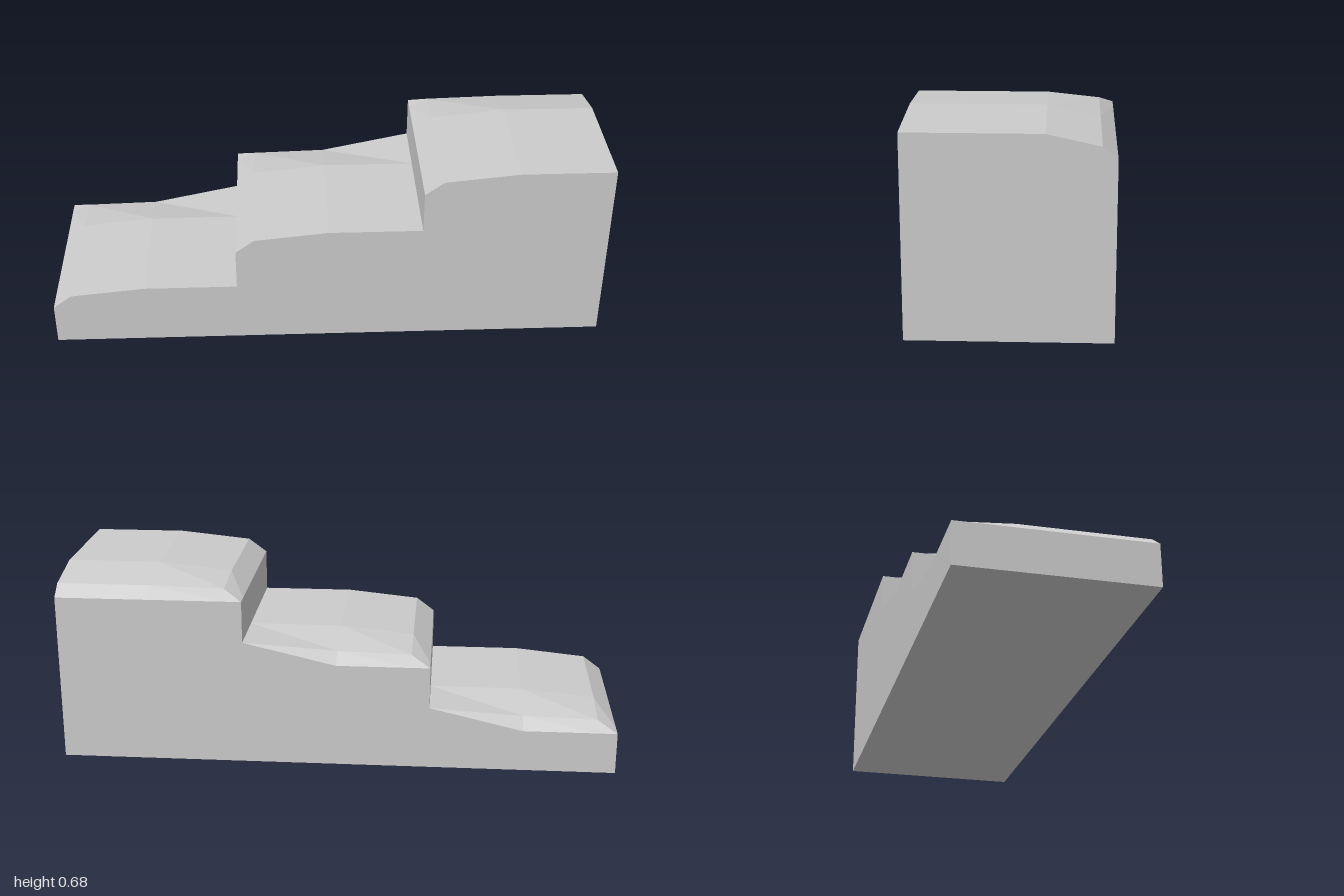
import * as THREE from 'three';

const STEPS = 3, RISE = 0.228, RUN = 2 / 3, HALF = 1 / 3;
const EDGE = 0.077; // how far the worn outer edges sit below the tread

// Columns across a step and rows from front to back; drops are below the tread.
const COLUMNS = [0, 0.067, RUN / 2, RUN];
const ROWS = [HALF, -0.113, -0.285, -HALF];
const DROPS = [
  [EDGE, EDGE, EDGE, EDGE],
  [0.027, 0.027, 0.045, EDGE],
  [0, 0, 0.038, EDGE],
  [0, 0, 0.038, EDGE],
];
// Where a tread meets the next riser, its rear lip runs out to the back wall.
const INNER_ROWS = [HALF, -0.113, -HALF, -HALF];
const INNER_DROPS = [0, 0, 0, EDGE];

function stepGeometry(index) {
  const last = index === STEPS - 1;
  const top = RISE * (index + 1);
  const left = -1 + RUN * index;

  // Cross-section: front foot, four points over the tread, back foot
  const section = (c, foot = 0) => {
    const inner = c === 3 && !last;
    const rows = inner ? INNER_ROWS : ROWS;
    const drops = inner ? INNER_DROPS : DROPS[c];
    const x = left + COLUMNS[c];
    return [
      [x, foot, HALF],
      ...rows.map((z, r) => [x, top - drops[r], z]),
      [x, foot, -HALF],
    ];
  };

  const points = [];
  const tri = (a, b, c) => points.push(...a, ...b, ...c);

  // Skin between neighbouring sections
  for (let c = 0; c < 3; c++) {
    const p = section(c), q = section(c + 1), n = p.length;
    for (let j = 0; j < n; j++) {
      const k = (j + 1) % n;
      tri(p[j], q[j], p[k]);
      tri(q[j], q[k], p[k]);
    }
  }

  // Riser above the previous tread, and the tall end wall
  const riser = section(0, RISE * index);
  const end = section(3);
  for (let j = 1; j < riser.length - 1; j++) {
    tri(riser[0], riser[j], riser[j + 1]);
    if (last) tri(end[0], end[j + 1], end[j]);
  }

  const geometry = new THREE.BufferGeometry();
  geometry.setAttribute('position', new THREE.Float32BufferAttribute(points, 3));
  geometry.computeVertexNormals();
  return geometry;
}

export function createModel() {
  const group = new THREE.Group();
  group.name = 'steps';
  const material = new THREE.MeshStandardMaterial({ color: 0xcccccc, flatShading: true });
  ['lowStep', 'middleStep', 'highStep'].forEach((name, i) => {
    const mesh = new THREE.Mesh(stepGeometry(i), material);
    mesh.name = name;
    group.add(mesh);
  });
  return group;
}
